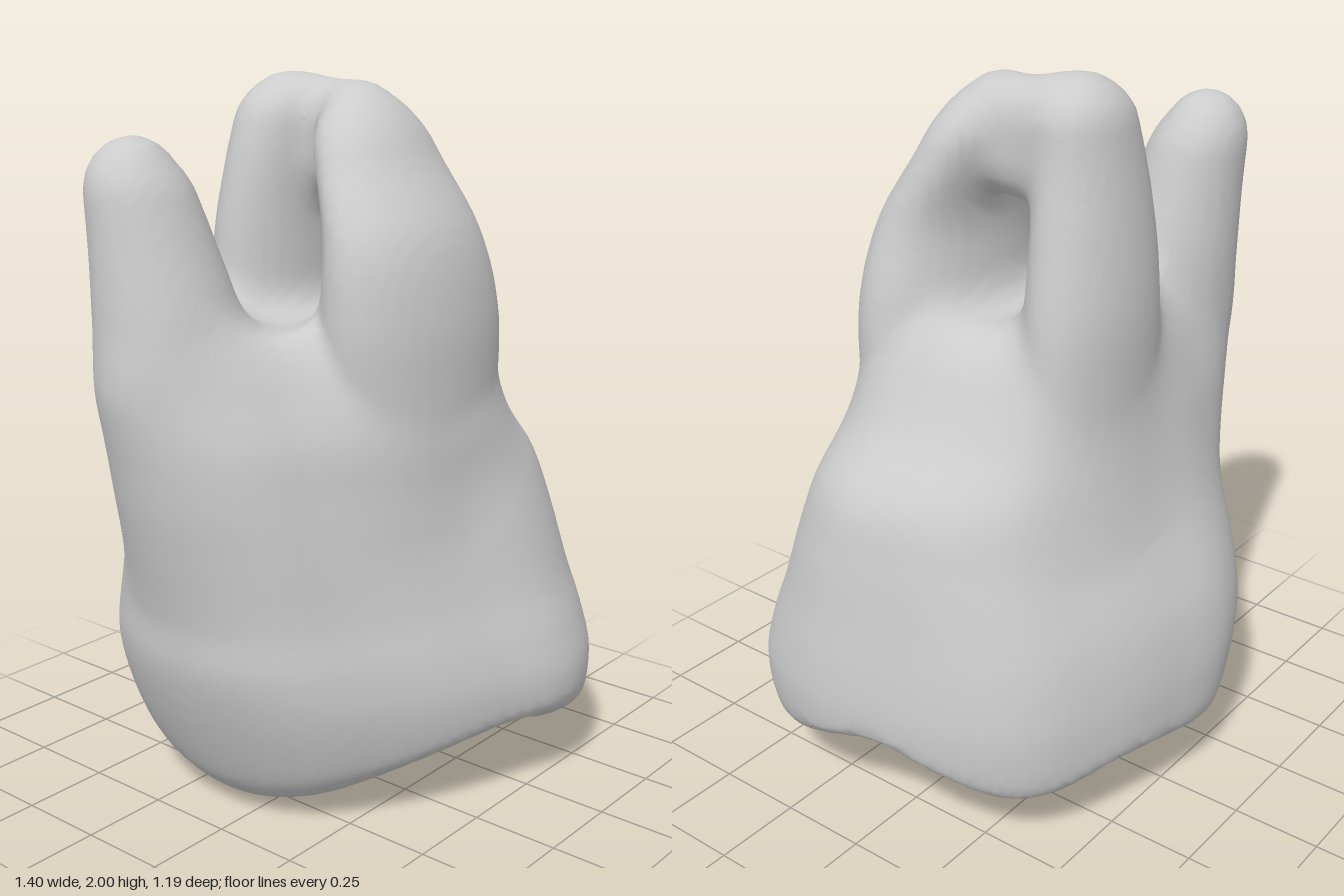
import * as THREE from 'three';

// Smooth interpolation of table rows [y, ...values] at height y
function sample(rows, y) {
  const n = rows.length - 1;
  if (y <= rows[0][0]) return rows[0].slice(1);
  if (y >= rows[n][0]) return rows[n].slice(1);
  let i = 0;
  while (y > rows[i + 1][0]) i++;
  const d = rows[i + 1][0] - rows[i][0], t = (y - rows[i][0]) / d;
  const slope = (j, k) => {
    const a = rows[Math.max(j - 1, 0)], b = rows[Math.min(j + 1, n)];
    return (b[k] - a[k]) / (b[0] - a[0]) * d;
  };
  const out = [];
  for (let k = 1; k < rows[0].length; k++) {
    const p = rows[i][k], q = rows[i + 1][k];
    out.push(p + (q - p) * t * t * (3 - 2 * t)
      + slope(i, k) * t * (1 - t) * (1 - t) - slope(i + 1, k) * t * t * (1 - t));
  }
  return out;
}

// Smooth union and intersection of distance fields
const smin = (a, b, k) => {
  const h = Math.max(k - Math.abs(a - b), 0) / k;
  return Math.min(a, b) - h * h * k / 4;
};
const smax = (a, b, k) => -smin(-a, -b, k);
const bump = (x, z, w, d) => Math.exp(-(x * x) / (w * w) - (z * z) / (d * d));

// Crown outline: relative radius every 22.5 degrees, from +x towards +z
const OUTLINE = [0.97, 1.07, 1.14, 1.08, 0.89, 0.82, 0.83, 0.93,
  1.0, 1.07, 1.12, 1.09, 0.985, 0.96, 0.99, 0.97];
const outlineRows = [];
for (let i = -2; i <= 18; i++) outlineRows.push([i, OUTLINE[(i + 16) % 16]]);

// Crown and neck: y, min x, max x, front depth, back depth
const BODY = [
  [0.0, -0.36, 0.56, 0.42, 0.46], [0.1, -0.42, 0.63, 0.5, 0.52],
  [0.2, -0.47, 0.68, 0.57, 0.57], [0.35, -0.53, 0.7, 0.595, 0.585],
  [0.48, -0.565, 0.69, 0.565, 0.575], [0.6, -0.57, 0.67, 0.52, 0.545],
  [0.8, -0.595, 0.635, 0.46, 0.46], [0.95, -0.61, 0.59, 0.41, 0.41],
  [1.1, -0.6, 0.465, 0.355, 0.365], [1.25, -0.55, 0.37, 0.26, 0.31],
  [1.4, -0.5, 0.29, 0.15, 0.24]];

function body(x, y, z) {
  const [x0, x1, front, back] = sample(BODY, y);
  const u = (2 * x - x0 - x1) / (x1 - x0), v = z / (z > 0 ? front : back);
  const turn = (Math.atan2(v, u) / (Math.PI * 2) + 1) % 1;
  let f = (Math.hypot(u, v) / sample(outlineRows, turn * 16)[0] - 1) * 0.5;
  f = smax(f, y - 1.35, 0.12);
  // Chewing surface: a worn pit between three cusps
  const chew = 0.26 - 0.26 * bump(x + 0.22, z + 0.1, 0.38, 0.48)
    - 0.155 * bump(x - 0.48, z - 0.36, 0.2, 0.2)
    - 0.1 * bump(x - 0.46, z + 0.36, 0.25, 0.2)
    + 0.03 * bump(x - 0.55, z, 0.2, 0.12)
    + 0.02 * bump(x - 0.2, z + 0.1, 0.2, 0.3) * Math.sin(23 * x + 9 * z) * Math.sin(19 * z - 7 * x);
  return smax(f, chew - y, 0.055);
}

// Tapering root with rounded ends; rows: y, centre x, centre z, half width, half depth
const root = (low, top, cap, rows) => (x, y, z) => {
  const [cx, cz, a, b] = sample(rows, y);
  const t = Math.max(y - top + cap, low + cap - y, 0) / cap;
  return (Math.hypot((x - cx) / a, (z - cz) / b, t) - 1) * Math.min(a, b);
};
const frontRoot = root(0.7, 1.975, 0.16, [
  [0.8, 0.05, 0.14, 0.27, 0.2], [1.0, 0.05, 0.175, 0.3, 0.205],
  [1.2, 0.06, 0.2, 0.32, 0.19],
  [1.4, 0.05, 0.21, 0.315, 0.175], [1.6, 0.035, 0.19, 0.275, 0.15],
  [1.8, 0.05, 0.09, 0.21, 0.125], [1.95, 0.06, 0.03, 0.15, 0.115]]);
const backRoot = root(0.7, 2.0, 0.12, [
  [1.0, 0.03, -0.25, 0.26, 0.14], [1.2, 0.03, -0.25, 0.25, 0.14],
  [1.4, 0.03, -0.25, 0.235, 0.14], [1.6, 0.02, -0.24, 0.21, 0.13],
  [1.8, 0.02, -0.22, 0.175, 0.122], [1.98, 0.04, -0.205, 0.14, 0.115]]);
const sideRoot = root(0.5, 1.86, 0.15, [
  [0.6, -0.34, -0.1, 0.16, 0.16], [0.8, -0.4, -0.12, 0.18, 0.18],
  [1.0, -0.45, -0.135, 0.195, 0.19], [1.2, -0.485, -0.145, 0.215, 0.19],
  [1.4, -0.49, -0.16, 0.2, 0.18], [1.6, -0.51, -0.19, 0.168, 0.15],
  [1.8, -0.535, -0.225, 0.135, 0.12]]);
// Bridge joining the tips of the front and back roots
const bridge = root(1.67, 1.98, 0.12, [
  [1.67, 0.08, -0.06, 0.1, 0.11], [1.95, 0.08, -0.09, 0.1, 0.13]]);

function tooth(x, y, z) {
  const pair = smin(smin(frontRoot(x, y, z), backRoot(x, y, z), 0.05), bridge(x, y, z), 0.06);
  return smin(smin(body(x, y, z), sideRoot(x, y, z), 0.12), pair, 0.11);
}

// Skin a distance field: one vertex per crossed cell, one quad per crossed edge
function skin(field, min, max, step) {
  const n = min.map((m, i) => Math.ceil((max[i] - m) / step) + 1);
  const stride = [1, n[0], n[0] * n[1]];
  const values = new Float32Array(n[0] * n[1] * n[2]);
  const each = (from, fn) => {
    for (let k = from; k < n[2] - 1; k++)
      for (let j = from; j < n[1] - 1; j++)
        for (let i = from; i < n[0] - 1; i++) fn(i, j, k, i + j * stride[1] + k * stride[2]);
  };
  values.fill(1);
  each(0, (i, j, k, id) => {
    values[id] = field(min[0] + i * step, min[1] + j * step, min[2] + k * step);
  });

  const positions = [], index = [], vertexOf = new Int32Array(values.length).fill(-1);
  each(0, (i, j, k, id) => {
    const sum = [0, 0, 0];
    let count = 0;
    for (let c = 0; c < 8; c++) {
      const corner = [c & 1, (c >> 1) & 1, c >> 2];
      const a = id + corner[0] * stride[0] + corner[1] * stride[1] + corner[2] * stride[2];
      for (let axis = 0; axis < 3; axis++) {
        if (corner[axis]) continue;
        const va = values[a], vb = values[a + stride[axis]];
        if ((va < 0) === (vb < 0)) continue;
        for (let m = 0; m < 3; m++) sum[m] += corner[m] + (m === axis ? va / (va - vb) : 0);
        count++;
      }
    }
    if (!count) return;
    vertexOf[id] = positions.length / 3;
    [i, j, k].forEach((g, m) => positions.push(min[m] + (g + sum[m] / count) * step));
  });
  each(1, (i, j, k, id) => {
    for (let axis = 0; axis < 3; axis++) {
      const inside = values[id] < 0;
      if (inside === (values[id + stride[axis]] < 0)) continue;
      const b = stride[(axis + 1) % 3], c = stride[(axis + 2) % 3];
      const q = [id - b - c, id - c, id, id - b].map((cell) => vertexOf[cell]);
      if (!inside) q.reverse();
      index.push(q[0], q[1], q[2], q[0], q[2], q[3]);
    }
  });

  const geometry = new THREE.BufferGeometry();
  geometry.setAttribute('position', new THREE.Float32BufferAttribute(positions, 3));
  geometry.setIndex(index);
  geometry.computeVertexNormals();
  return geometry;
}

export function createModel() {
  const group = new THREE.Group();
  group.name = 'molar';
  const mesh = new THREE.Mesh(
    skin(tooth, [-0.85, -0.1, -0.75], [0.85, 2.12, 0.75], 0.022),
    new THREE.MeshStandardMaterial({ color: 0xcccccc }));
  mesh.name = 'crownAndRoots';
  group.add(mesh);
  return group;
}
